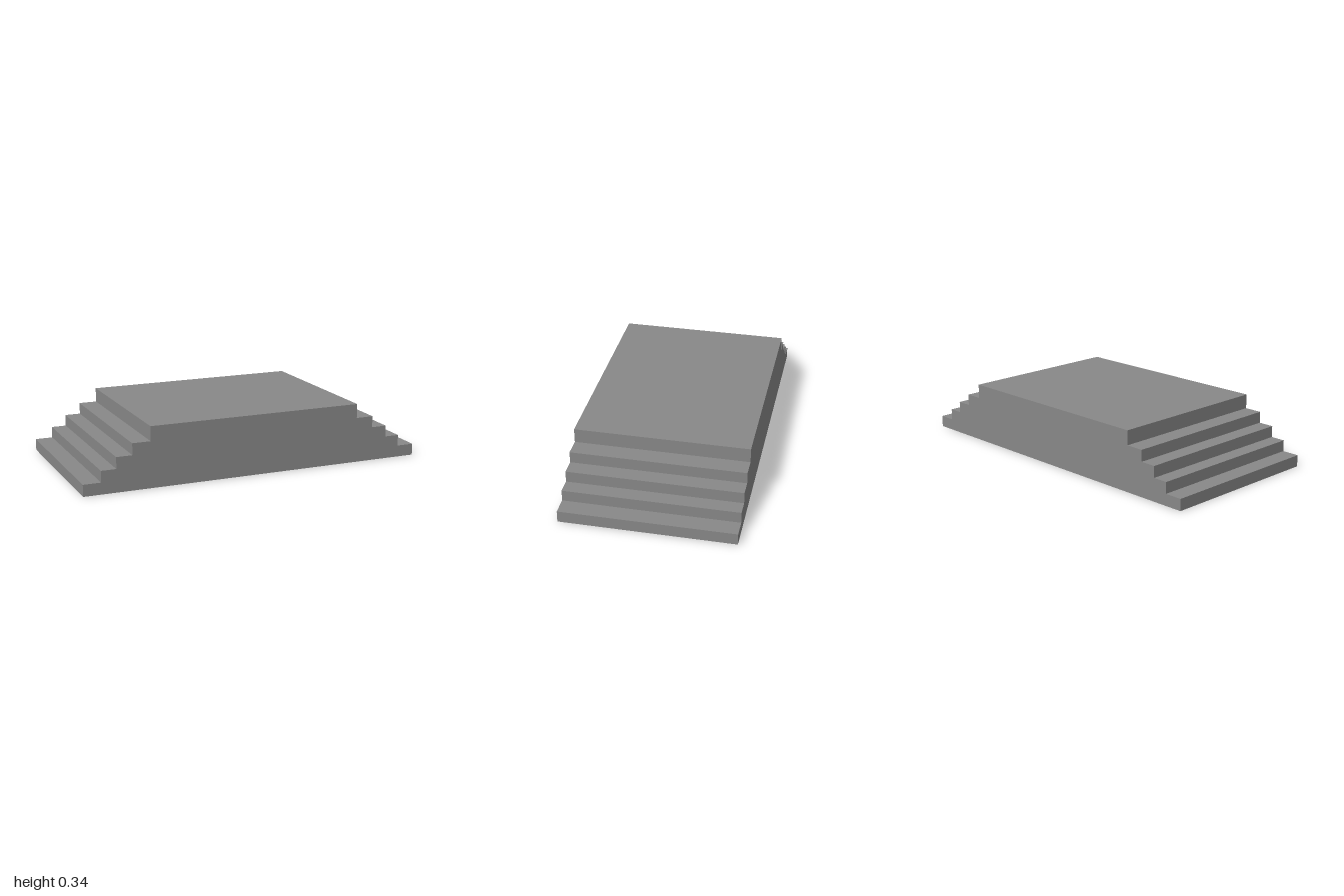
import * as THREE from 'three';

const DEPTH = 0.97;
const HEIGHT = 0.342;
const PLATFORM_X = 0.622;
// Outer edge and tread height of each step, from the ground up
const STEPS = [[1, 0.066], [0.9, 0.13], [0.815, 0.195], [0.725, 0.26]];

// Stepped side profile extruded across the depth; side is +1 or -1
function flight(side, material) {
  const points = [new THREE.Vector2(side * PLATFORM_X, 0)];
  let y = 0;
  for (const [x, top] of STEPS) {
    points.push(new THREE.Vector2(side * x, y), new THREE.Vector2(side * x, top));
    y = top;
  }
  points.push(new THREE.Vector2(side * PLATFORM_X, y));
  const geometry = new THREE.ExtrudeGeometry(new THREE.Shape(points), { depth: DEPTH, bevelEnabled: false });
  geometry.translate(0, 0, -DEPTH / 2);
  const mesh = new THREE.Mesh(geometry, material);
  mesh.name = side > 0 ? 'leftStairs' : 'rightStairs';
  return mesh;
}

export function createModel() {
  const group = new THREE.Group();
  group.name = 'steppedPlatform';
  const stone = new THREE.MeshStandardMaterial({ color: 0x888888 });
  stone.name = 'stone grey';

  // Raised central platform
  const platform = new THREE.Mesh(new THREE.BoxGeometry(PLATFORM_X * 2, HEIGHT, DEPTH), stone);
  platform.name = 'platform';
  platform.position.y = HEIGHT / 2;
  group.add(platform);

  // Matching flights of stairs at both ends
  for (const side of [1, -1]) group.add(flight(side, stone));
  return group;
}
